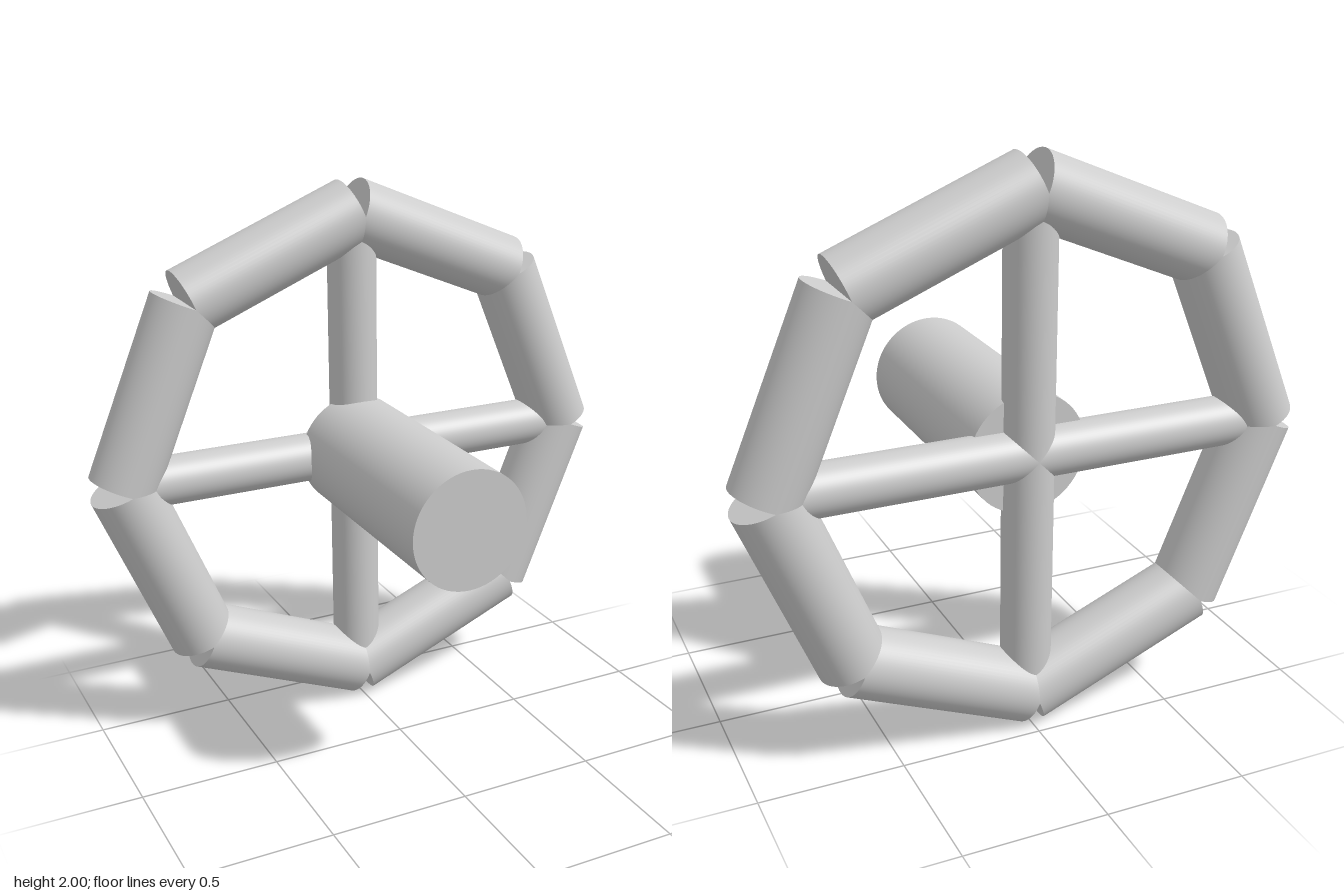
import * as THREE from 'three';

const RING = 0.886;      // distance from hub axis to rim corners
const RIM_R = 0.123;     // rim tube radius
const SPOKE_R = 0.088;
const HUB_R = 0.21;
const HUB_LENGTH = 0.886;
const WHEEL_Z = (RIM_R - HUB_LENGTH) / 2; // rim plane; back of rim and front of hub are equally far from z = 0

export function createModel() {
  const model = new THREE.Group();
  model.name = 'valveWheel';

  const grey = new THREE.MeshStandardMaterial({ color: 0xcccccc });
  grey.name = 'plain grey';

  // capped cylinder running from a to b
  function rod(name, a, b, radius) {
    const dir = b.clone().sub(a);
    const mesh = new THREE.Mesh(new THREE.CylinderGeometry(radius, radius, dir.length(), 64), grey);
    mesh.name = name;
    mesh.position.copy(a).add(b).multiplyScalar(0.5);
    mesh.quaternion.setFromUnitVectors(new THREE.Vector3(0, 1, 0), dir.normalize());
    model.add(mesh);
  }

  const point = (angle, r) =>
    new THREE.Vector3(r * Math.cos(angle), 1 + r * Math.sin(angle), WHEEL_Z);

  // octagonal rim: straight tubes with square-cut ends meeting at the corners
  for (let i = 0; i < 8; i++) {
    const a = (i * Math.PI) / 4;
    rod('rimSegment' + (i + 1), point(a, RING), point(a + Math.PI / 4, RING), RIM_R);
  }

  // crossed spokes
  rod('horizontalSpoke', point(Math.PI, RING - 0.003), point(0, RING - 0.003), SPOKE_R);
  rod('verticalSpoke', point(-Math.PI / 2, RING - 0.003), point(Math.PI / 2, RING - 0.003), SPOKE_R);

  // hub shaft pointing forward from the spoke crossing
  rod('hubShaft', new THREE.Vector3(0, 1, WHEEL_Z), new THREE.Vector3(0, 1, WHEEL_Z + HUB_LENGTH), HUB_R);

  return model;
}
